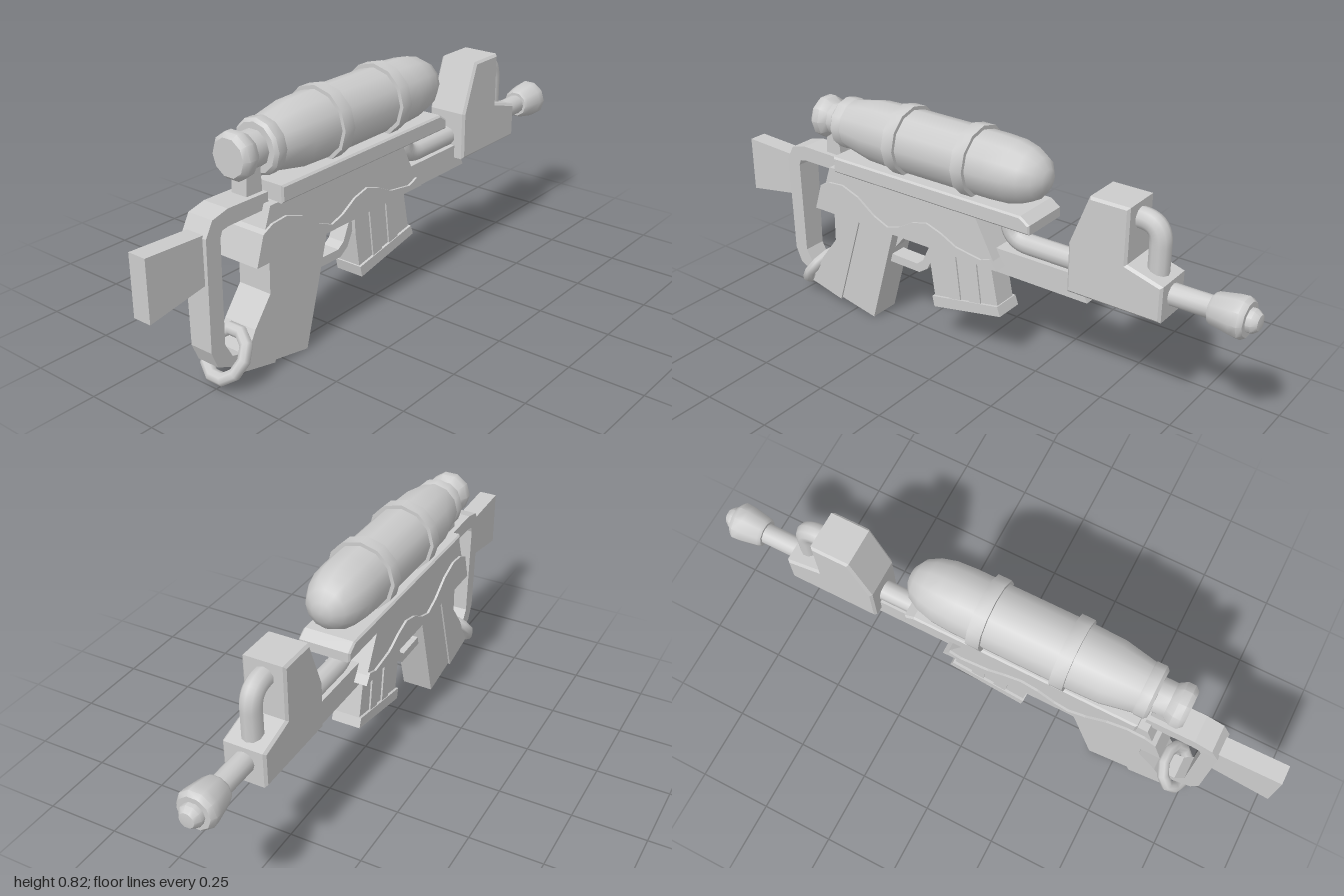
import * as THREE from 'three';
import { toCreasedNormals } from 'three/addons/utils/BufferGeometryUtils.js';

export function createModel() {
  const model = new THREE.Group();
  model.name = 'toyBlaster';
  const grey = new THREE.MeshStandardMaterial({ color: 0xcccccc });
  grey.name = 'plainGrey';

  const add = (name, geo) => {
    const mesh = new THREE.Mesh(geo, grey);
    mesh.name = name;
    model.add(mesh);
    return mesh;
  };

  // Side outline given as [z, y], extruded symmetrically across x
  const slab = (name, pts, half, bevel = 0) => {
    const shape = new THREE.Shape(pts.map(([z, y]) => new THREE.Vector2(z, y)));
    const depth = 2 * (half - bevel);
    const geo = new THREE.ExtrudeGeometry(shape, {
      depth, bevelEnabled: bevel > 0, bevelThickness: bevel,
      bevelSize: bevel, bevelOffset: -bevel, bevelSegments: 1,
    });
    geo.translate(0, 0, -depth / 2).rotateY(-Math.PI / 2);
    return add(name, geo);
  };

  // Turned part along z; profile given as [radius, z] with z ascending
  const turned = (name, pts, y, sides, start = 0) => {
    const geo = new THREE.LatheGeometry(pts.map(([r, z]) => new THREE.Vector2(r, z)), sides, start);
    geo.rotateX(Math.PI / 2).translate(0, y, 0);
    return add(name, toCreasedNormals(geo, 0.75));
  };

  // Round pipe following [z, y] points with rounded corners
  const pipe = (name, pts, radius, bend) => {
    const v = pts.map(([z, y]) => new THREE.Vector3(0, y, z));
    const path = new THREE.CurvePath();
    const [a, b, c] = v;
    const p = b.clone().add(a.clone().sub(b).setLength(bend));
    const q = b.clone().add(c.clone().sub(b).setLength(bend));
    path.add(new THREE.LineCurve3(a, p));
    path.add(new THREE.QuadraticBezierCurve3(p, b, q));
    path.add(new THREE.LineCurve3(q, c));
    return add(name, new THREE.TubeGeometry(path, 24, radius, 10, false));
  };

  // Tank with its bands, collar and cap
  turned('tank', [[0, -0.285], [0.035, -0.278], [0.068, -0.255], [0.09, -0.215], [0.103, -0.165],
    [0.107, -0.1], [0.108, 0.3], [0.105, 0.4], [0.085, 0.505], [0, 0.505]], 0.703, 12);
  for (const z of [-0.035, 0.245]) {
    turned('tankBand', [[0.1, z], [0.12, z], [0.12, z + 0.045], [0.1, z + 0.045]], 0.703, 12);
  }
  turned('tankCollar', [[0, 0.495], [0.08, 0.495], [0.088, 0.51], [0.088, 0.54], [0.078, 0.55], [0, 0.55]], 0.703, 12);
  turned('tankNeck', [[0.058, 0.54], [0.058, 0.61]], 0.703, 10, Math.PI / 2);
  turned('tankCap', [[0, 0.59], [0.058, 0.59], [0.074, 0.615], [0.074, 0.64], [0.06, 0.655], [0, 0.655]], 0.703, 10, Math.PI / 2);
  slab('capPost', [[0.555, 0.57], [0.62, 0.57], [0.615, 0.66], [0.56, 0.66]], 0.03);

  // Rail and main body
  slab('tankRail', [[0.535, 0.547], [0.535, 0.603], [-0.235, 0.603], [-0.27, 0.58], [-0.27, 0.547]], 0.09, 0.006);
  slab('body', [[0.57, 0.55], [-0.05, 0.55], [-0.14, 0.38], [0.63, 0.38]], 0.073);
  slab('wavyPanel', [[0.64, 0.38], [0.61, 0.475], [0.57, 0.495], [0.51, 0.5], [0.44, 0.475], [0.37, 0.425],
    [0.31, 0.4], [0.26, 0.415], [0.2, 0.45], [0.14, 0.465], [0.08, 0.445], [0.02, 0.415], [-0.08, 0.4],
    [-0.12, 0.415], [-0.145, 0.38]], 0.081);
  slab('lowerReceiver', [[0.16, 0.435], [-0.415, 0.435], [-0.455, 0.35], [0.145, 0.35]], 0.035);

  // Feed pipe, rear block, loop pipe, barrel and nozzle
  pipe('feedPipe', [[-0.14, 0.57], [-0.14, 0.465], [-0.43, 0.465]], 0.034, 0.075);
  slab('nozzleBlock', [[-0.4, 0.39], [-0.4, 0.555], [-0.465, 0.727], [-0.6, 0.727], [-0.6, 0.545],
    [-0.722, 0.51], [-0.722, 0.39]], 0.072, 0.008);
  pipe('loopPipe', [[-0.57, 0.675], [-0.67, 0.675], [-0.67, 0.5]], 0.034, 0.065);
  turned('barrel', [[0.035, -0.87], [0.035, -0.7]], 0.46, 12);
  turned('nozzle', [[0, -0.965], [0.055, -0.965], [0.066, -0.95], [0.064, -0.925], [0.052, -0.86], [0.045, -0.85], [0, -0.85]], 0.46, 10, Math.PI / 2);
  turned('nozzleTip', [[0, -1], [0.025, -0.997], [0.038, -0.98], [0.038, -0.95]], 0.46, 10, Math.PI / 2);

  // Stock and curved frame
  slab('stock', [[1, 0.34], [1, 0.537], [0.78, 0.527], [0.78, 0.377]], 0.032);
  const frame = slab('stockFrame', [[0.55, 0.58], [0.71, 0.583], [0.77, 0.568], [0.797, 0.52], [0.797, 0.16],
    [0.775, 0.105], [0.72, 0.08], [0.64, 0.05], [0.64, 0.095], [0.715, 0.115], [0.743, 0.165], [0.743, 0.505],
    [0.735, 0.525], [0.71, 0.53], [0.55, 0.53]], 0.047);
  // Taper the frame towards its lower end
  const pos = frame.geometry.attributes.position;
  for (let i = 0; i < pos.count; i++) {
    pos.setX(i, pos.getX(i) * (0.82 + 0.18 * Math.min(1, pos.getY(i) / 0.55)));
  }
  frame.geometry.computeVertexNormals();

  // Lanyard ring
  const ring = add('lanyardRing', new THREE.TorusGeometry(0.071, 0.02, 8, 10));
  ring.scale.y = 1.08;
  ring.rotation.x = -0.62;
  ring.position.set(0, 0.102, 0.702);

  // Two-piece grip
  slab('gripFront', [[0.57, 0.39], [0.572, 0.265], [0.64, 0.175], [0.7, 0.06], [0.562, 0.028], [0.45, 0.39]], 0.062);
  slab('gripRear', [[0.47, 0.39], [0.57, 0.035], [0.41, 0.004], [0.31, 0.36], [0.305, 0.39]], 0.056);

  // Trigger and its guard
  slab('trigger', [[0.33, 0.39], [0.27, 0.38], [0.275, 0.36], [0.345, 0.275]], 0.02);
  slab('triggerGuard', [[0.36, 0.275], [0.35, 0.24], [0.215, 0.238], [0.18, 0.262], [0.14, 0.34], [0.14, 0.38],
    [0.165, 0.36], [0.2, 0.285], [0.225, 0.268], [0.32, 0.27]], 0.03);

  // Magazine with base plate and side ribs
  slab('magazine', [[0.16, 0.37], [0.155, 0.3], [0.135, 0.165], [-0.125, 0.22], [-0.095, 0.37]], 0.043);
  slab('magazineBase', [[0.142, 0.18], [0.134, 0.142], [-0.14, 0.197], [-0.128, 0.23]], 0.052);
  for (const z of [0.07, -0.015]) {
    slab('magazineRib', [[z + 0.02, 0.36], [z, 0.19], [z - 0.045, 0.2], [z - 0.025, 0.36]], 0.049);
  }

  return model;
}
